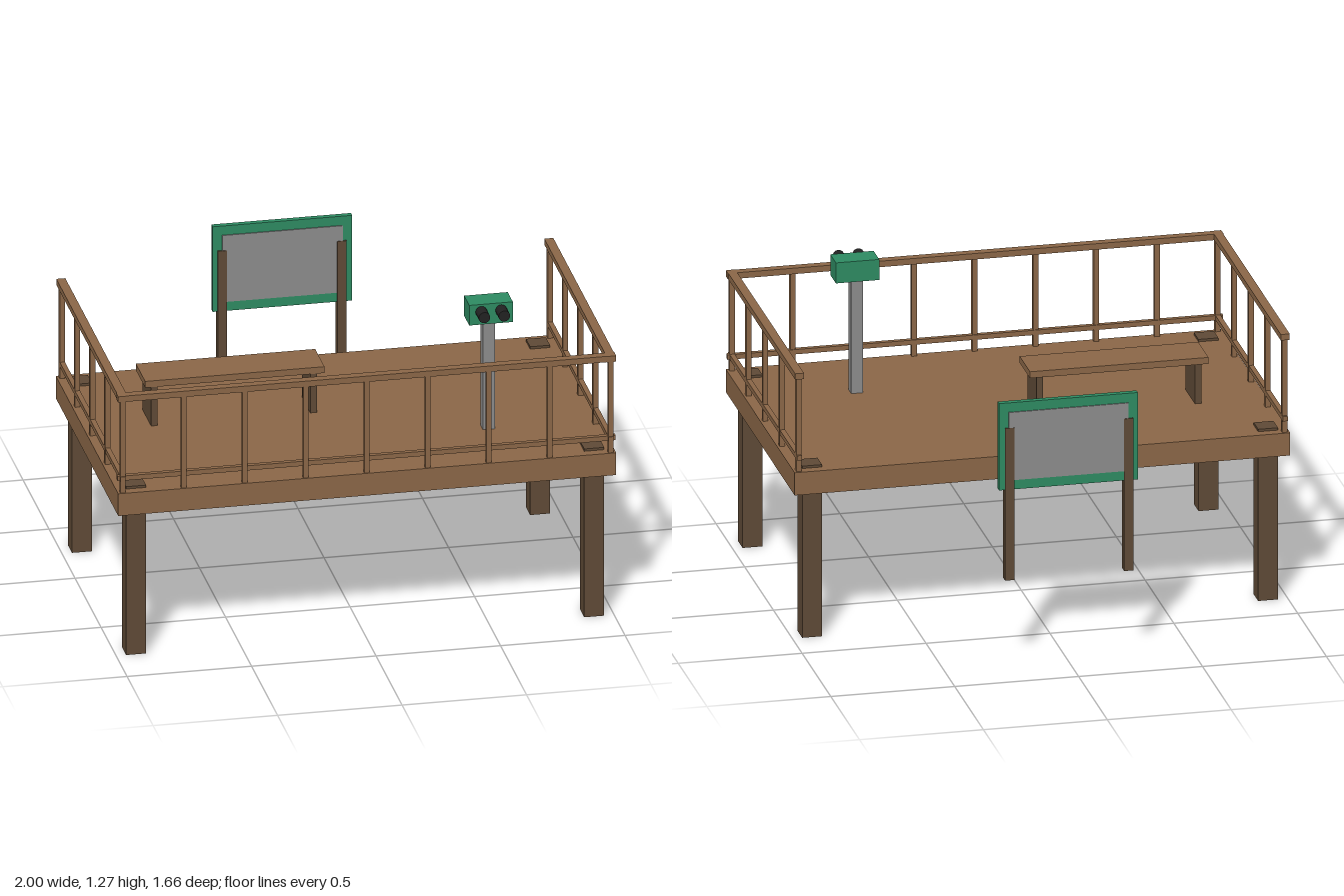
import * as THREE from 'three';

const mat = (color) => new THREE.MeshStandardMaterial({ color });

export function createModel() {
  const model = new THREE.Group();
  model.name = 'observationDeck';
  const wood = mat(0x8b6747), darkWood = mat(0x5f4a36), green = mat(0x2e8b62);
  const grey = mat(0x8c8c8c), black = mat(0x222222);

  const group = (name) => {
    const g = new THREE.Group();
    g.name = name;
    model.add(g);
    return g;
  };
  // box given by its minimum and maximum on each axis
  const box = (parent, name, material, [x0, x1], [y0, y1], [z0, z1]) => {
    const mesh = new THREE.Mesh(new THREE.BoxGeometry(x1 - x0, y1 - y0, z1 - z0), material);
    mesh.position.set((x0 + x1) / 2, (y0 + y1) / 2, (z0 + z1) / 2);
    mesh.name = name;
    parent.add(mesh);
    return mesh;
  };
  const around = (c, size) => [c - size / 2, c + size / 2];

  // platform on four legs, whose tops show slightly above the floor
  const DECK = 0.71;
  box(model, 'deck', wood, [-1, 1], [0.615, DECK], [-0.37, 0.83]);
  const legs = group('legs');
  for (const x of [-0.92, 0.92])
    for (const z of [-0.29, 0.75])
      box(legs, 'leg', darkWood, around(x, 0.08), [0, 0.72], around(z, 0.08));

  // railing on the front and both sides, open at the back
  const railing = group('railing');
  const rails = [['topRail', [1.1, 1.125], 0.036], ['lowerRail', [0.76, 0.78], 0.02]];
  for (const [name, y, width] of rails) {
    box(railing, name, wood, [-1, 1], y, around(0.81, width));
    for (const x of [-0.98, 0.98])
      box(railing, name, wood, around(x, width), y, [-0.37, 0.83]);
  }
  for (let i = 0; i < 9; i++)
    box(railing, 'frontPost', wood, around(-0.98 + i * 0.245, 0.021), [DECK, 1.1], around(0.815, 0.021));
  for (const x of [-0.98, 0.98])
    for (let i = 1; i < 5; i++)
      box(railing, 'sidePost', wood, around(x, 0.021), [DECK, 1.1], around(0.815 - i * 0.2912, 0.021));

  // bench
  const bench = group('bench');
  box(bench, 'seat', wood, [-0.76, -0.04], [0.878, 0.905], [0.02, 0.2]);
  for (const x of [-0.722, -0.083])
    box(bench, 'support', darkWood, around(x, 0.026), [DECK, 0.88], [0.033, 0.195]);

  // binocular viewer on a post
  const viewer = group('viewer');
  box(viewer, 'viewerPost', grey, [0.534, 0.582], [DECK, 1.18], [0.449, 0.498]);
  box(viewer, 'viewerHead', green, [0.47, 0.645], [1.18, 1.266], [0.443, 0.542]);
  for (const x of [0.518, 0.598]) {
    const tube = new THREE.Mesh(new THREE.CylinderGeometry(0.023, 0.023, 0.09, 16), black);
    tube.rotation.x = Math.PI / 2;
    tube.position.set(x, 1.235, 0.56);
    tube.name = 'lensTube';
    viewer.add(tube);
  }

  // information board on two posts behind the deck
  const board = group('infoBoard');
  const Z = -0.812;
  box(board, 'boardFrame', green, [-0.28, 0.28], [0.74, 1.104], around(Z, 0.024));
  box(board, 'boardPanel', grey, [-0.242, 0.242], [0.78, 1.065], around(Z, 0.033));
  for (const x of [-0.242, 0.238])
    box(board, 'boardPost', darkWood, around(x, 0.038), [0.362, 1.0], around(Z, 0.037));

  return model;
}
